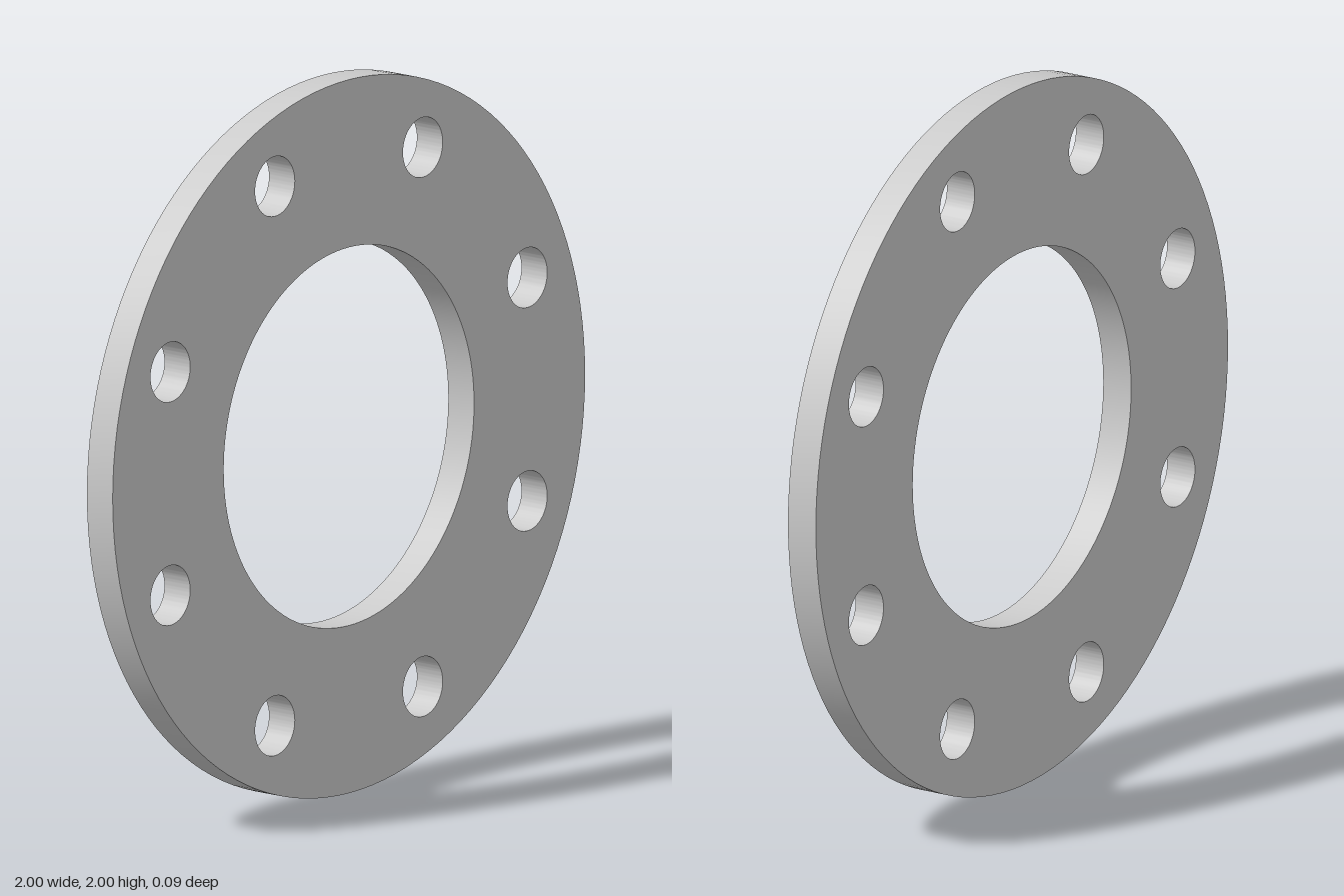
import * as THREE from 'three';
import { toCreasedNormals } from 'three/addons/utils/BufferGeometryUtils.js';

const OUTER_RADIUS = 1;
const BORE_RADIUS = 0.53;
const BOLT_CIRCLE = 0.818;
const BOLT_RADIUS = 0.084;
const BOLT_COUNT = 8;
const THICKNESS = 0.092;

function circleHole(x, y, radius) {
  return new THREE.Path().absarc(x, y, radius, 0, Math.PI * 2, true);
}

export function createModel() {
  const group = new THREE.Group();
  group.name = 'flange';

  // Round plate with a central bore
  const plate = new THREE.Shape().absarc(0, 0, OUTER_RADIUS, 0, Math.PI * 2, false);
  plate.holes.push(circleHole(0, 0, BORE_RADIUS));

  // Bolt holes straddle the vertical and horizontal centre lines
  for (let i = 0; i < BOLT_COUNT; i++) {
    const a = ((i + 0.5) / BOLT_COUNT) * Math.PI * 2;
    plate.holes.push(circleHole(BOLT_CIRCLE * Math.cos(a), BOLT_CIRCLE * Math.sin(a), BOLT_RADIUS));
  }

  const extruded = new THREE.ExtrudeGeometry(plate, {
    depth: THICKNESS,
    bevelEnabled: false,
    curveSegments: 64,
  });
  extruded.translate(0, 0, -THICKNESS / 2);

  // Smooth rims and bores, sharp edges at the flat faces
  const ring = new THREE.Mesh(
    toCreasedNormals(extruded, Math.PI / 6),
    new THREE.MeshStandardMaterial({ color: 0xcccccc })
  );
  ring.name = 'flangeRing';
  ring.position.y = OUTER_RADIUS;
  group.add(ring);

  return group;
}
